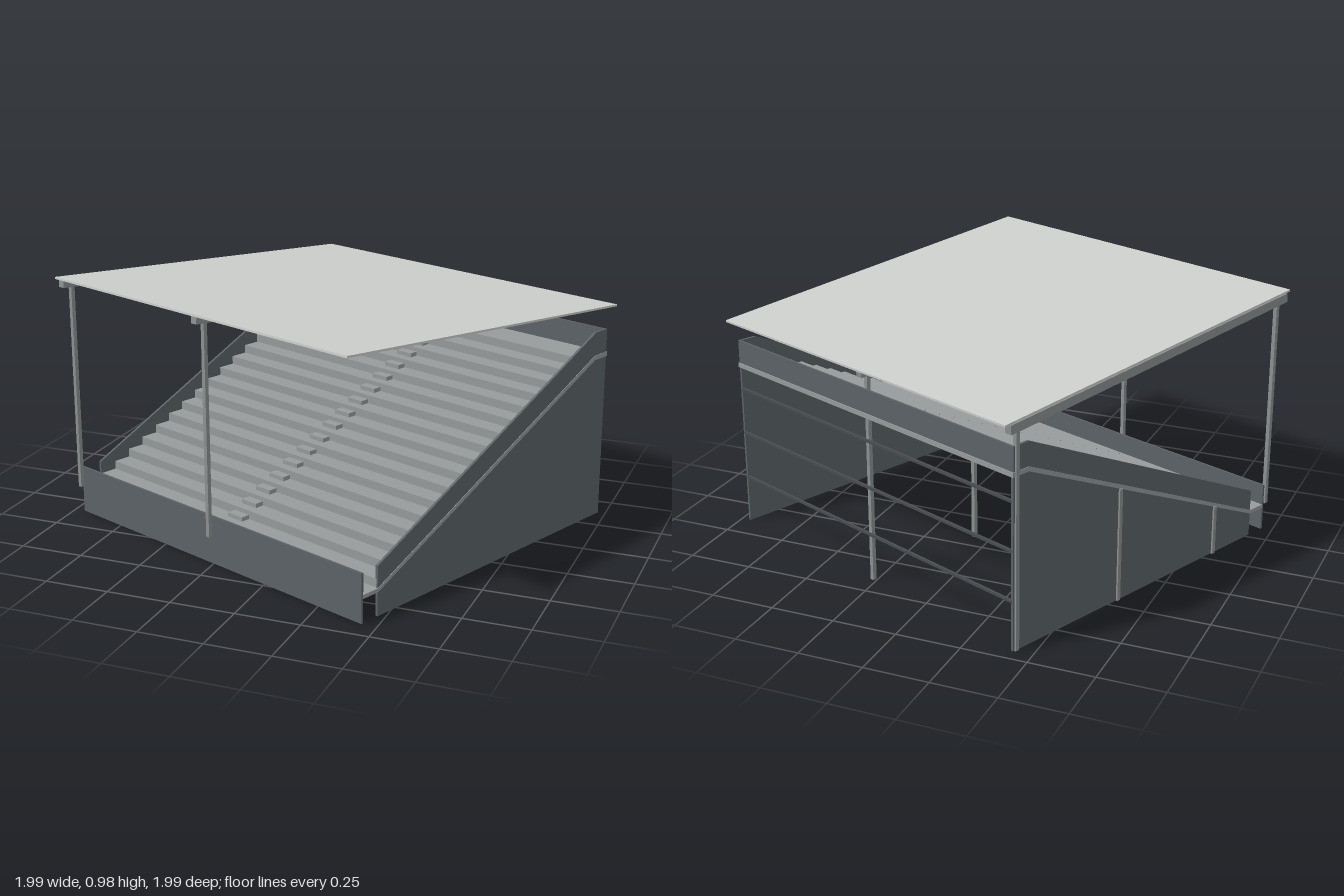
import * as THREE from 'three';

const material = (name, color) => {
  const m = new THREE.MeshStandardMaterial({ color });
  m.name = name;
  return m;
};

export function createModel() {
  const wallGrey = material('slate wall', 0x5c6367);
  const concrete = material('concrete', 0x979b9b);
  const roofGrey = material('pale roof', 0xcdcfcd);
  const steel = material('steel', 0x8c9191);
  const railGrey = material('dark rail', 0x484d50);

  const model = new THREE.Group();
  model.name = 'grandstand';
  const stand = new THREE.Group();
  stand.name = 'turnedStand';
  stand.rotation.y = -0.387;
  model.add(stand);

  const box = (name, mat, w, h, d, x, y, z) => {
    const mesh = new THREE.Mesh(new THREE.BoxGeometry(w, h, d), mat);
    mesh.name = name;
    mesh.position.set(x, y, z);
    stand.add(mesh);
    return mesh;
  };
  // Extrudes a side profile of [z, y] points across the width
  const profile = (name, mat, points, width, centreX) => {
    const shape = new THREE.Shape(points.map(([z, y]) => new THREE.Vector2(z, y)));
    const mesh = new THREE.Mesh(
      new THREE.ExtrudeGeometry(shape, { depth: width, bevelEnabled: false }), mat);
    mesh.name = name;
    mesh.rotation.y = -Math.PI / 2;
    mesh.position.x = centreX + width / 2;
    stand.add(mesh);
    return mesh;
  };

  const FRONT = 0.6, TOP = -0.645, BACK = -0.719;
  const ROWS = 17, BASE = 0.107;
  const rise = (0.673 - BASE) / ROWS, run = (FRONT - TOP) / ROWS;

  // Sloping slab, its edges showing as a band on the side walls
  profile('seatingSlab', concrete, [
    [0.68, 0.092], [0.68, BASE], [FRONT, BASE], [TOP, 0.673],
    [BACK - 0.004, 0.673], [BACK - 0.004, 0.655], [TOP, 0.655], [FRONT, 0.092],
  ], 1.514, 0);

  // Stepped seating rows
  const steps = [[FRONT, BASE - 0.005]];
  for (let i = 0; i < ROWS; i++) {
    const y = BASE + (i + 1) * rise;
    steps.push([FRONT - i * run, y], [FRONT - (i + 1) * run, y]);
  }
  steps.push([TOP, 0.668]);
  profile('seatingRows', concrete, steps, 1.5, 0);

  // Half-height steps of the central aisle
  for (let i = 0; i < ROWS; i++) {
    box('aisleStep', concrete, 0.075, rise / 2, run / 2,
      0, BASE + (i + 0.25) * rise, FRONT - (i - 0.25) * run);
  }

  // Side walls
  for (const side of [-1, 1]) {
    profile('sideWall', wallGrey, [
      [FRONT, 0], [FRONT, 0.19], [TOP, 0.765], [BACK, 0.765], [BACK, 0],
    ], 0.01, side * 0.75);
  }

  // Front wall and back parapet
  box('frontWall', wallGrey, 1.514, 0.19, 0.008, 0, 0.095, 0.68);
  box('backParapet', wallGrey, 1.51, 0.11, 0.008, 0, 0.71, BACK + 0.004);

  // Rails across the open back
  for (const y of [0.19, 0.38, 0.565]) {
    box('backRail', railGrey, 1.5, 0.01, 0.01, 0, y, BACK + 0.003);
  }

  // Columns and roof beams, in two frames
  const pitch = Math.atan(0.125 / 1.53);
  for (const x of [-0.754, 0]) {
    const column = (name, bottom, top, z) =>
      box(name, steel, 0.016, top - bottom, 0.016, x, (bottom + top) / 2, z);
    column('frontColumn', 0.11, 0.95, 0.695);
    column('lowerColumn', 0, 0.198, 0.37);
    column('middleColumn', 0, 0.446, -0.18);
    column('backColumn', 0, 0.83, -0.704);
    const beam = box('roofBeam', steel, 0.028, 0.034, 1.49, x, 0.893, 0);
    beam.rotation.x = -pitch;
  }

  // Roof sheet, rising to the front
  const roof = box('roof', roofGrey, 1.526, 0.008, 1.535, 0, 0.914, 0);
  roof.rotation.x = -pitch;

  return model;
}
